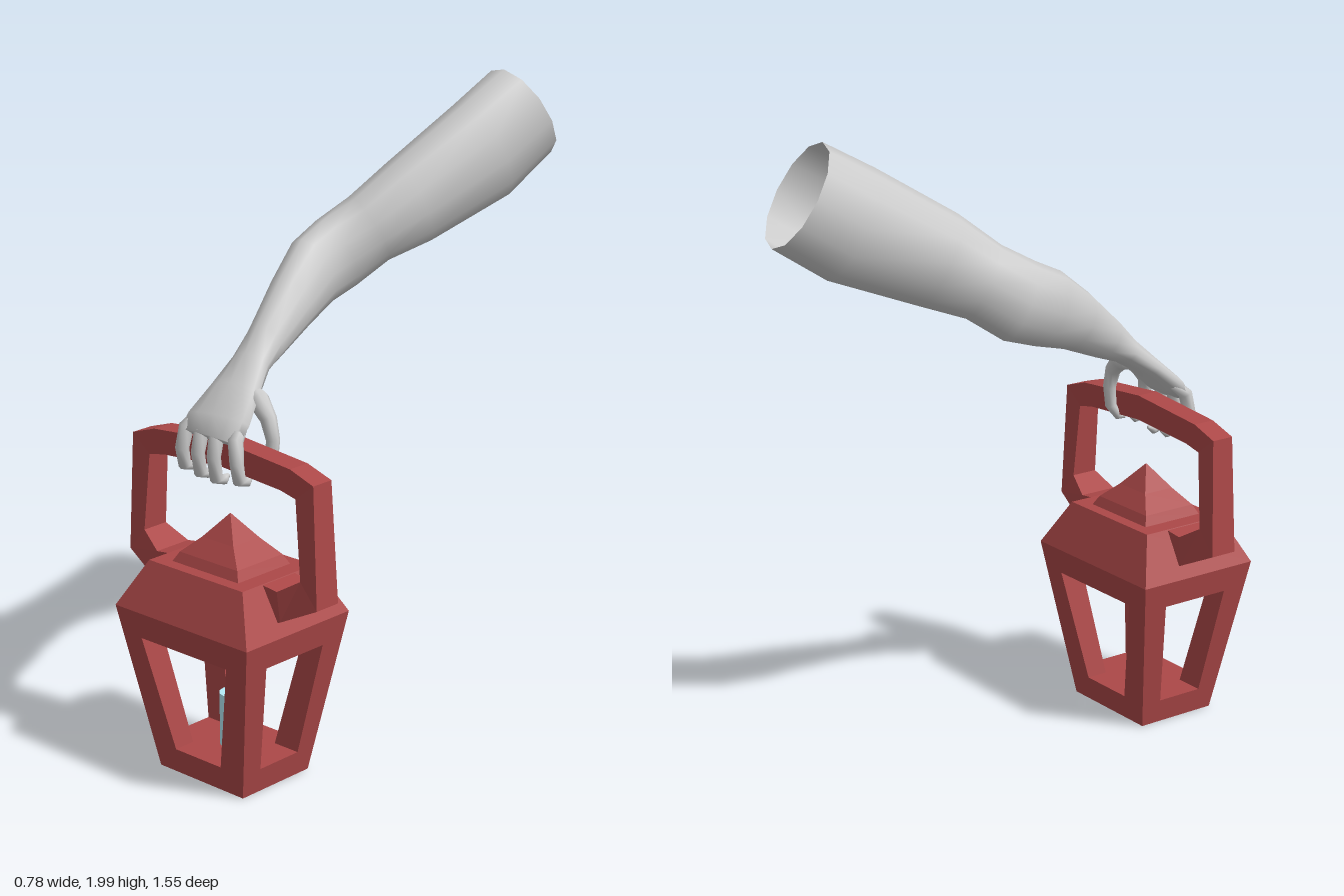
import * as THREE from 'three';

const V = (x, y, z) => new THREE.Vector3(x, y, z);
const LZ = 0.55; // lantern centre in z

const skin = new THREE.MeshStandardMaterial({ color: 0xcccccc, side: THREE.DoubleSide });
const red = new THREE.MeshStandardMaterial({ color: 0xac4848, flatShading: true });
const wax = new THREE.MeshStandardMaterial({ color: 0xb5ecf8 });

// Skin a list of closed rings, optionally capping the two ends
function loft(rings, capStart = true, capEnd = true) {
  const n = rings[0].length, m = rings.length, index = [];
  for (let i = 0; i < m - 1; i++) {
    for (let j = 0; j < n; j++) {
      const a = i * n + j, b = i * n + (j + 1) % n;
      index.push(a, b, a + n, b, b + n, a + n);
    }
  }
  for (let j = 1; j < n - 1; j++) {
    const e = (m - 1) * n;
    if (capStart) index.push(0, j + 1, j);
    if (capEnd) index.push(e, e + j, e + j + 1);
  }
  const g = new THREE.BufferGeometry().setFromPoints(rings.flat());
  g.setIndex(index);
  g.computeVertexNormals();
  return g;
}

// Elliptical limb; rows are [x, y, z, half width, half height]
function limb(rows, sides, capStart) {
  const pts = rows.map(r => V(r[0], r[1], r[2]));
  const rings = rows.map(([, , , w, h], i) => {
    const t = pts[Math.min(i + 1, pts.length - 1)].clone().sub(pts[Math.max(i - 1, 0)]).normalize();
    const s = V(1, 0, 0).addScaledVector(t, -t.x).normalize();
    const u = t.clone().cross(s);
    return Array.from({ length: sides }, (_, j) => {
      const a = j / sides * Math.PI * 2;
      return pts[i].clone().addScaledVector(s, w * Math.cos(a)).addScaledVector(u, h * Math.sin(a));
    });
  });
  return loft(rings, capStart, true);
}

// Horizontal rectangle used as a ring
const rect = (y, x0, x1, z0, z1) =>
  [V(x0, y, LZ + z1), V(x1, y, LZ + z1), V(x1, y, LZ + z0), V(x0, y, LZ + z0)];
// Stack of centred rectangles; rows are [y, half x, half z]
const stack = rows => loft(rows.map(([y, x, z]) => rect(y, -x, x, -z, z)));

export function createModel() {
  const model = new THREE.Group();
  const add = (name, geometry, material, parent = model) => {
    const mesh = new THREE.Mesh(geometry, material);
    mesh.name = name;
    parent.add(mesh);
    return mesh;
  };

  // Lantern body, tapering towards the floor
  const lantern = new THREE.Group();
  lantern.name = 'lantern';
  model.add(lantern);
  const hx = y => 0.175 + y / 0.52 * 0.1;
  const hz = y => 0.14 + y / 0.52 * 0.077;
  const low = 0.08, high = 0.435;
  add('base', stack([[0, hx(0), hz(0)], [low, hx(low), hz(low)]]), red, lantern);
  add('roof', stack([[high, hx(high), hz(high)], [0.52, 0.275, 0.217], [0.665, 0.195, 0.15]]), red, lantern);
  add('finial', stack([[0.66, 0.14, 0.112], [0.695, 0.12, 0.095], [0.745, 0.065, 0.055], [0.82, 0.001, 0.001]]), red, lantern);

  // Four corner posts framing the windows
  for (const sx of [-1, 1]) for (const sz of [-1, 1]) {
    const ring = (y, ix, iz) => {
      const xs = [sx * ix, sx * hx(y)].sort((a, b) => a - b);
      const zs = [sz * iz, sz * hz(y)].sort((a, b) => a - b);
      return rect(y, ...xs, ...zs);
    };
    add('cornerPost', loft([ring(low, 0.095, 0.08), ring(high, 0.178, 0.12)], false, false), red, lantern);
  }

  // Handle: [inner x, inner y, outer x, outer y, half depth], mirrored over the top
  const half = [
    [0.18, 0.665, 0.18, 0.53, 0.068],
    [0.25, 0.655, 0.262, 0.563, 0.065],
    [0.325, 0.70, 0.39, 0.625, 0.045],
    [0.302, 0.945, 0.372, 1.0, 0.038],
    [0.24, 0.958, 0.28, 1.03, 0.037],
  ];
  const mirrored = half.map(([a, b, c, d, e]) => [-a, b, -c, d, e]).reverse();
  const path = [...half, [0, 0.975, 0, 1.055, 0.037], ...mirrored];
  add('handle', loft(path.map(([ix, iy, ox, oy, d]) =>
    [V(ix, iy, LZ + d), V(ox, oy, LZ + d), V(ox, oy, LZ - d), V(ix, iy, LZ - d)])), red, lantern);

  // Candle and flame
  add('candle', new THREE.CylinderGeometry(0.043, 0.043, 0.17, 12), wax, lantern).position.set(0, 0.163, LZ);
  add('flame', new THREE.ConeGeometry(0.02, 0.05, 8), wax, lantern).position.set(0, 0.268, LZ);

  // Arm from the open shoulder through elbow and wrist to the knuckles
  const arm = new THREE.Group();
  arm.name = 'armAndHand';
  model.add(arm);
  add('arm', limb([
    [0.076, 1.85, -0.69, 0.137, 0.17],
    [0.05, 1.748, -0.525, 0.132, 0.178],
    [-0.02, 1.617, -0.265, 0.113, 0.148],
    [-0.078, 1.545, -0.145, 0.1, 0.122],
    [-0.12, 1.48, -0.045, 0.09, 0.128],
    [-0.122, 1.44, 0.06, 0.083, 0.12],
    [-0.09, 1.375, 0.19, 0.075, 0.095],
    [-0.06, 1.29, 0.33, 0.06, 0.068],
    [-0.05, 1.24, 0.405, 0.064, 0.046],
    [-0.032, 1.18, 0.49, 0.092, 0.036],
    [-0.02, 1.11, 0.575, 0.122, 0.034],
    [-0.02, 1.065, 0.612, 0.118, 0.022],
  ], 12, false), skin, arm);

  // Four fingers hooked over the handle: [knuckle x, tip x, tip y]
  for (const [k, t, y] of [[-0.112, -0.132, 0.955], [-0.052, -0.066, 0.945], [0.006, 0.0, 0.94], [0.068, 0.094, 0.955]]) {
    add('finger', limb([
      [k, 1.11, 0.565, 0.018, 0.018],
      [(k + t) / 2, 1.075, 0.605, 0.025, 0.022],
      [t, 1.01, 0.615, 0.022, 0.02],
      [t, y, 0.605, 0.021, 0.019],
      [t, y - 0.008, 0.575, 0.018, 0.016],
      [t, y + 0.002, 0.555, 0.006, 0.006],
    ], 8, true), skin, arm);
  }

  // Thumb wrapping down behind the handle
  add('thumb', limb([
    [0.0, 1.18, 0.47, 0.03, 0.03],
    [0.06, 1.165, 0.485, 0.034, 0.03],
    [0.105, 1.12, 0.492, 0.026, 0.024],
    [0.122, 1.06, 0.492, 0.022, 0.02],
    [0.12, 0.995, 0.497, 0.02, 0.018],
    [0.108, 0.96, 0.52, 0.016, 0.015],
    [0.1, 0.955, 0.54, 0.005, 0.005],
  ], 8, true), skin, arm);

  return model;
}
